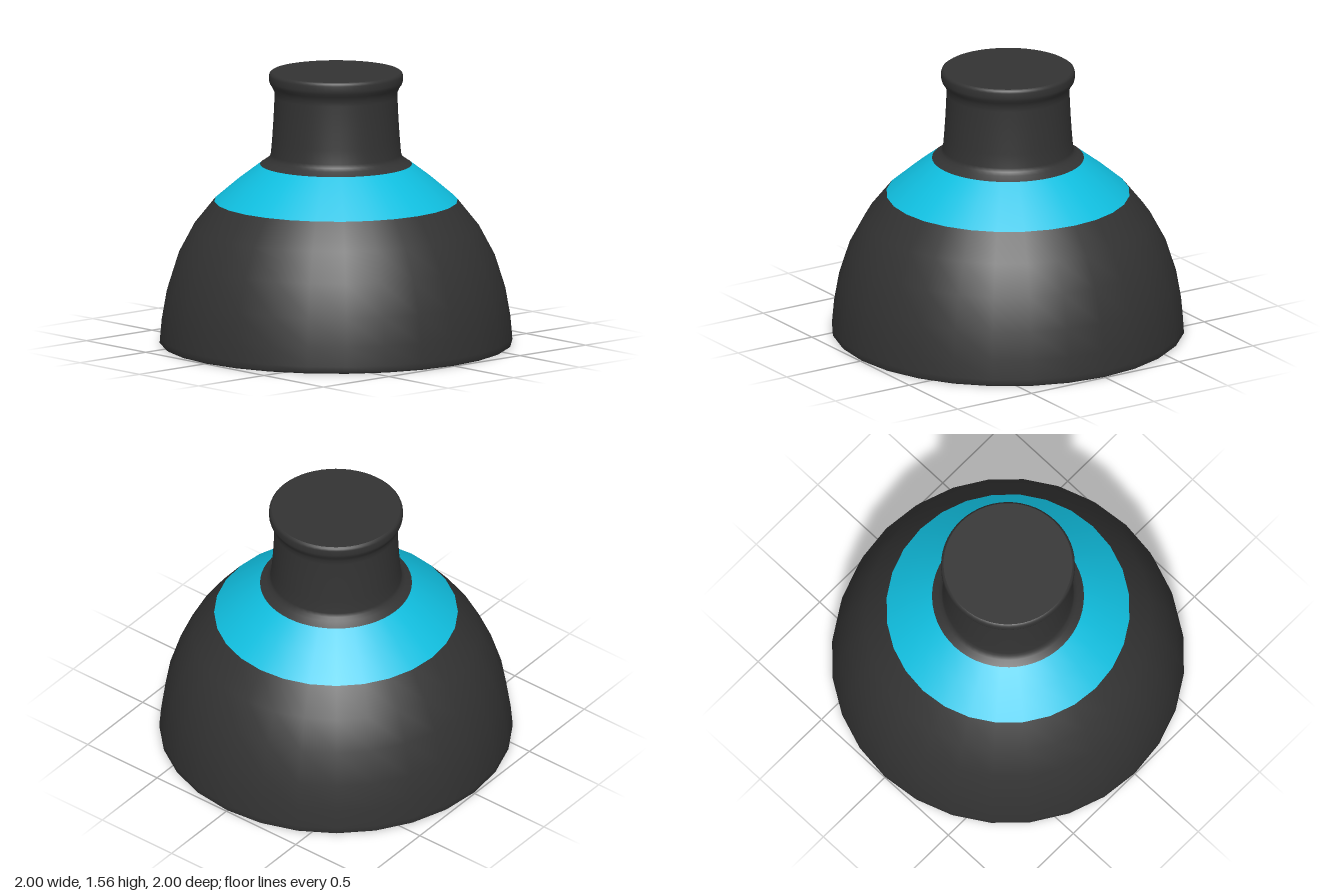
import * as THREE from 'three';

const dark = new THREE.MeshStandardMaterial({ color: 0x333333 });
const blue = new THREE.MeshStandardMaterial({ color: 0x10bfe0 });

// Turned part from [radius, height] pairs, listed bottom to top
function turned(name, profile, sides, material) {
  const points = profile.map(([r, y]) => new THREE.Vector2(r, y));
  const mesh = new THREE.Mesh(new THREE.LatheGeometry(points, sides), material);
  mesh.name = name;
  return mesh;
}

// Flat disc facing up or down
function disc(name, radius, y, sides, up) {
  const geometry = new THREE.CircleGeometry(radius, sides);
  geometry.rotateX(up ? -Math.PI / 2 : Math.PI / 2);
  const mesh = new THREE.Mesh(geometry, dark);
  mesh.position.y = y;
  mesh.name = name;
  return mesh;
}

export function createModel() {
  const group = new THREE.Group();
  group.name = 'flask';
  const bodySides = 28, neckSides = 56;

  // Domed body with a small rounded foot
  group.add(turned('body', [
    [0.99, 0], [1, 0.01], [0.998, 0.04], [0.988, 0.15], [0.96, 0.31],
    [0.9, 0.5], [0.81, 0.67], [0.69, 0.82],
  ], bodySides, dark));
  group.add(disc('base', 0.99, 0, bodySides, false));

  // Coloured shoulder band
  group.add(turned('shoulderBand', [[0.69, 0.82], [0.555, 0.935], [0.43, 1.03]], bodySides, blue));

  // Neck flaring into the shoulder, with a rolled lip
  group.add(turned('neck', [
    [0.43, 1.03], [0.395, 1.053], [0.377, 1.07], [0.369, 1.09], [0.362, 1.17],
    [0.354, 1.29], [0.348, 1.42], [0.35, 1.45], [0.362, 1.475], [0.374, 1.492],
    [0.379, 1.51], [0.379, 1.54], [0.375, 1.553], [0.365, 1.56],
  ], neckSides, dark));
  group.add(disc('neckTop', 0.365, 1.56, neckSides, true));

  return group;
}
